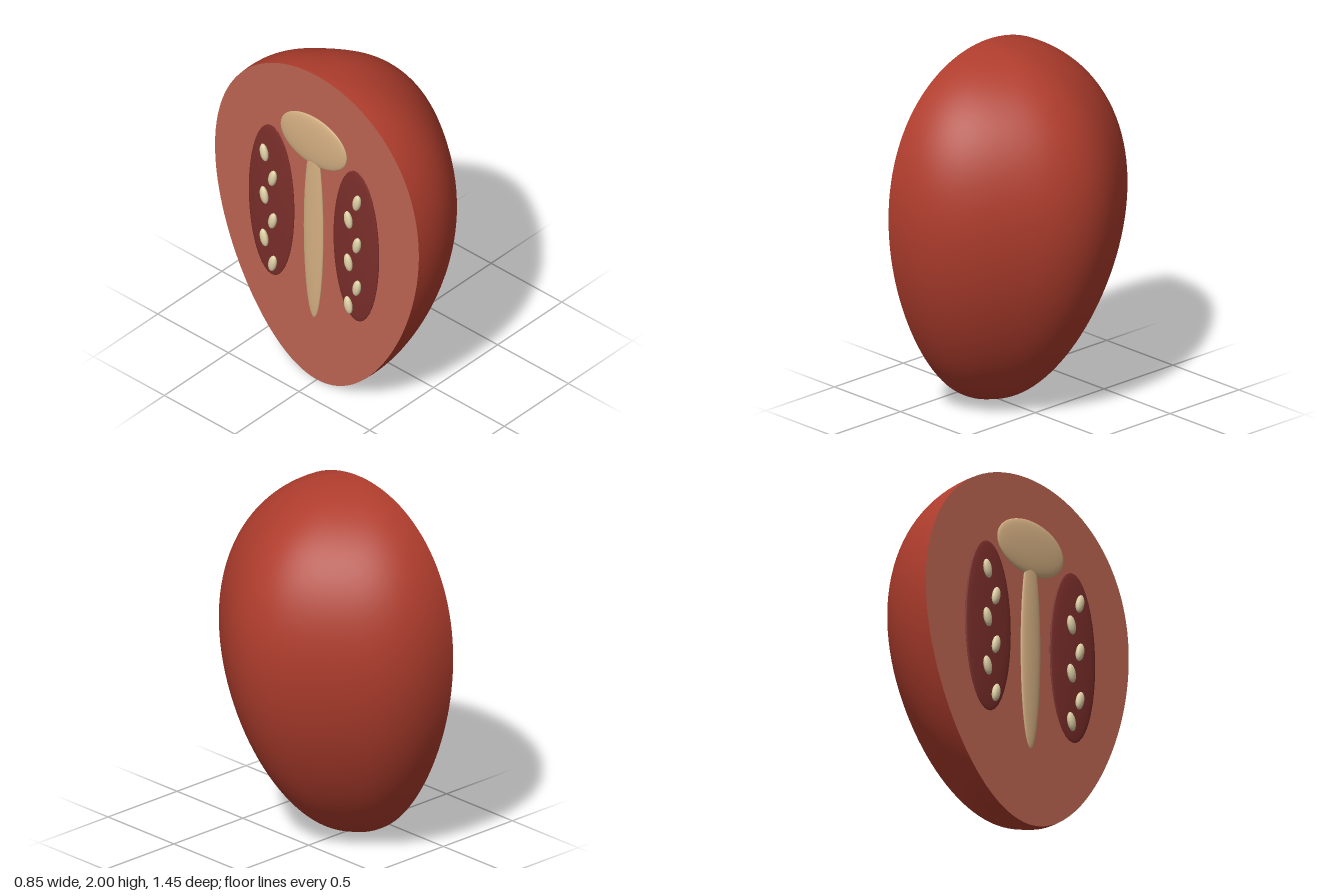
import * as THREE from 'three';

const mat = (name, color) => {
  const m = new THREE.MeshStandardMaterial({ color });
  m.name = name;
  return m;
};

const CUT_X = -0.36; // plane of the cut face

// half-width of the fruit at polar angle t (0 = top), on a unit scale
const profile = (t) => Math.sin(t) * (1 + 0.19 * Math.cos(t)) / 1.018;

export function createModel() {
  const skin = mat('red skin', 0xaf3d2d);
  const flesh = mat('cut flesh', 0xbc6451);
  const pulp = mat('dark seed pulp', 0x7a2e2a);
  const pith = mat('pale core', 0xd4af82);
  const seedMat = mat('cream seed', 0xdfd0a5);

  const root = new THREE.Group();
  root.name = 'halvedFruit';
  const add = (name, geo, material, parent = root) => {
    const mesh = new THREE.Mesh(geo, material);
    mesh.name = name;
    parent.add(mesh);
    return mesh;
  };

  // Skin: half sphere reshaped into an egg with soft lobes
  const N = 64;
  const body = new THREE.SphereGeometry(1, 72, N, Math.PI / 2, Math.PI);
  const p = body.attributes.position;
  for (let i = 0; i < p.count; i++) {
    const y = THREE.MathUtils.clamp(p.getY(i), -1, 1);
    const a = Math.atan2(p.getZ(i), p.getX(i));
    const r = profile(Math.acos(y)) * (1 + 0.025 * Math.cos(5 * a));
    p.setXYZ(i, CUT_X + 0.766 * r * Math.cos(a), 1 + y, 0.722 * r * Math.sin(a));
  }
  body.computeVertexNormals();
  add('skin', body, skin);

  // Flat cut face, looking towards -x
  const outline = [];
  for (let i = 0; i < 2 * N; i++) {
    const t = (i / N) * Math.PI; // past the bottom the profile turns negative
    const side = t <= Math.PI ? 1 : -1;
    const w = 0.722 * side * profile(side > 0 ? t : 2 * Math.PI - t);
    outline.push(new THREE.Vector2(w, 1 + Math.cos(t)));
  }
  const face = new THREE.ShapeGeometry(new THREE.Shape(outline));
  face.rotateY(-Math.PI / 2).translate(CUT_X, 0, 0);
  add('cutFace', face, flesh);

  // Flattened ellipsoids sitting on the cut face
  const blob = (name, material, pos, size, parent, seg = 40) => {
    const m = add(name, new THREE.SphereGeometry(1, seg, seg / 2), material, parent);
    m.position.set(...pos);
    m.scale.set(...size);
    return m;
  };
  blob('coreCap', pith, [-0.384, 1.585, 0], [0.022, 0.158, 0.235]);
  blob('coreColumn', pith, [-0.385, 1.0, 0], [0.018, 0.575, 0.069]);

  // Seed chambers, each with two staggered columns of tilted seeds
  for (const s of [1, -1]) {
    const chamber = new THREE.Group();
    chamber.name = s > 0 ? 'frontSeedChamber' : 'backSeedChamber';
    root.add(chamber);
    blob('pulp', pulp, [-0.383, 1.045, 0.3 * s], [0.019, 0.49, 0.161], chamber);
    for (let i = 0; i < 6; i++) {
      const outer = i % 2 === 0;
      const z = outer ? 0.328 : 0.268;
      const seed = blob('seed', seedMat, [-0.411, 1.357 - 0.14 * i, z * s], [0.019, 0.053, 0.025], chamber, 20);
      seed.rotation.x = 0.2 * s * (outer ? 1 : -1);
    }
  }
  return root;
}
